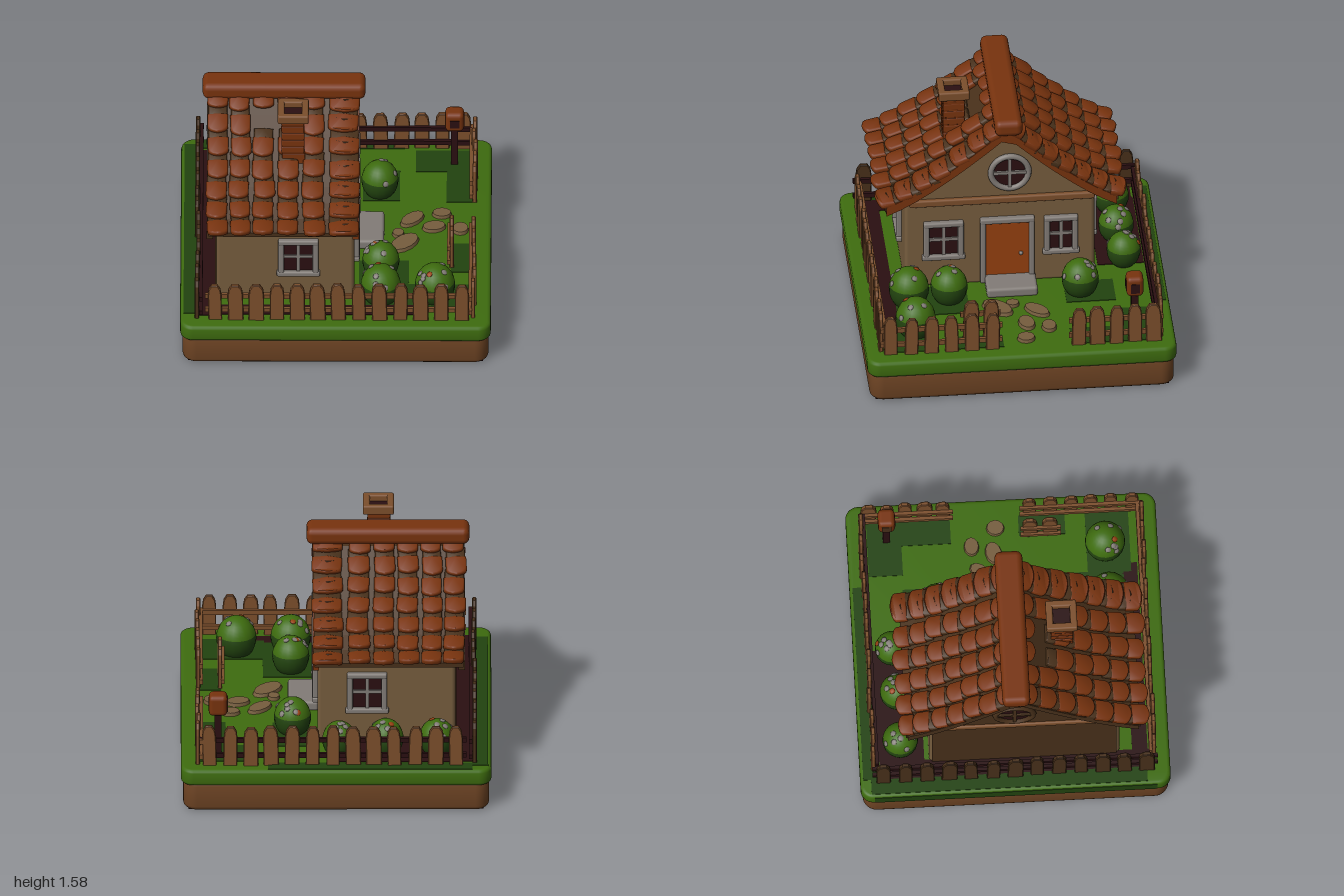
import * as THREE from 'three';
import { toCreasedNormals } from 'three/addons/utils/BufferGeometryUtils.js';
import { RoundedBoxGeometry } from 'three/addons/geometries/RoundedBoxGeometry.js';

const mat = (name, color) => new THREE.MeshStandardMaterial({ name, color });
const M = {
  grass: mat('grass green', 0x3e6c0f), shade: mat('dark grass', 0x22430f), soil: mat('dark soil', 0x2a0f11),
  dirt: mat('earth brown', 0x6d4323), wood: mat('fence wood', 0x7c4f2c), wall: mat('plaster', 0x765d3e),
  trim: mat('pale trim', 0x827c77), tile: mat('roof tile', 0x78330e), dark: mat('dark timber', 0x48301a),
  door: mat('door orange', 0x964110),
};

let seed = 7;
const rnd = (a, b) => {
  seed = (seed * 16807) % 2147483647;
  return a + (b - a) * (seed / 2147483647);
};
function add(parent, name, geo, material, x = 0, y = 0, z = 0) {
  const m = new THREE.Mesh(geo, material);
  m.name = name;
  m.position.set(x, y, z);
  parent.add(m);
  return m;
}
function group(parent, name) {
  const g = new THREE.Group();
  g.name = name;
  parent.add(g);
  return g;
}
const box = (w, h, d) => new THREE.BoxGeometry(w, h, d);
const rbox = (w, h, d, r = 0.012) => new RoundedBoxGeometry(w, h, d, 2, r);
const poly = pts => new THREE.Shape(pts.map(p => new THREE.Vector2(p[0], p[1])));

// Rounded square slab, y from y0 to y1
function slab(parent, name, half, y0, y1, bevel, material) {
  const h = half - bevel, r = 0.06, s = new THREE.Shape();
  s.absarc(h - r, h - r, r, 0, Math.PI / 2);
  s.absarc(-h + r, h - r, r, Math.PI / 2, Math.PI);
  s.absarc(-h + r, -h + r, r, Math.PI, Math.PI * 1.5);
  s.absarc(h - r, -h + r, r, Math.PI * 1.5, Math.PI * 2);
  const g = new THREE.ExtrudeGeometry(s, { depth: y1 - y0 - 2 * bevel, bevelSize: bevel, bevelThickness: bevel, bevelSegments: 3, curveSegments: 6 });
  g.rotateX(-Math.PI / 2);
  add(parent, name, toCreasedNormals(g, 0.7), material, 0, y0 + bevel, 0);
}

// Roof height across z, slightly concave towards the eaves
const ZC = 0.02, SPAN = { 1: 0.83, '-1': 0.76 };
const roofY = z => {
  const t = Math.min(1, Math.abs(z - ZC) / SPAN[z > ZC ? 1 : -1]);
  return 1.49 - 0.575 * (1 - Math.pow(1 - t, 1.3));
};
const roofLine = (z0, z1, drop) => Array.from({ length: 17 }, (_, i) => {
  const z = z0 + (z1 - z0) * i / 16;
  return [-z, roofY(z) - drop];
});
const alongX = (pts, x0, x1) => new THREE.ExtrudeGeometry(poly(pts), { depth: x1 - x0, bevelEnabled: false })
  .rotateY(Math.PI / 2).translate(x0, 0, 0);

// Window facing +z, origin at its centre
function windowUnit(parent, x, y, z, turn, w = 0.26, h = 0.29) {
  const g = group(parent, 'window'), f = 0.038;
  g.position.set(x, y, z);
  g.rotation.y = turn;
  add(g, 'glass', box(w - f, h - f, 0.008), M.soil, 0, 0, 0.004);
  for (const s of [-1, 1]) {
    add(g, 'frameSide', rbox(f, h, 0.04), M.trim, s * (w - f) / 2, 0, 0.012);
    add(g, 'frameRail', rbox(w + (s < 0 ? 0.02 : 0), f, 0.045), M.trim, 0, s * (h - f) / 2, 0.012);
  }
  add(g, 'mullion', box(0.022, h - f, 0.02), M.trim, 0, 0, 0.01);
  add(g, 'crossbar', box(w - f, 0.022, 0.02), M.trim, 0, 0.01, 0.01);
}

function roundWindow(parent, x, turn, frame) {
  const g = group(parent, 'roundWindow');
  g.position.set(x, 1.14, 0.0);
  g.rotation.y = turn;
  add(g, 'glass', new THREE.CircleGeometry(0.125, 24), M.soil, 0, 0, 0.008);
  add(g, 'ring', new THREE.TorusGeometry(0.122, 0.02, 8, 28), frame, 0, 0, 0.01);
  add(g, 'barUpright', box(0.022, 0.23, 0.02), frame, 0, 0, 0.012);
  add(g, 'barAcross', box(0.23, 0.022, 0.02), frame, 0, 0, 0.012);
}

// Arched strip of tile from y = top down to y = -len, lower end scalloped
function tileGeometry(w, top, len) {
  const a = w / 2 - 0.012, s = new THREE.Shape();
  s.moveTo(-a, top);
  s.lineTo(-a, -len + 0.04);
  s.quadraticCurveTo(-a, -len + 0.01, 0, -len);
  s.quadraticCurveTo(a, -len + 0.01, a, -len + 0.04);
  s.lineTo(a, top);
  s.lineTo(0, top);
  const g = new THREE.ExtrudeGeometry(s, { depth: 0.016, bevelSize: 0.012, bevelThickness: 0.012, bevelSegments: 2, curveSegments: 5 });
  const p = g.attributes.position;
  for (let i = 0; i < p.count; i++) p.setZ(i, p.getZ(i) - 2.6 * p.getX(i) ** 2);
  g.computeVertexNormals();
  return toCreasedNormals(g, 0.8);
}

function buildRoof(parent) {
  const g = group(parent, 'roof');
  add(g, 'roofDeck', alongX([...roofLine(0.81, -0.7, 0), ...roofLine(-0.7, 0.81, 0.03)], -0.82, 0.14), M.dark);
  const barge = [...roofLine(0.8, -0.69, -0.004), ...roofLine(-0.69, 0.8, 0.06)];
  add(g, 'bargeBoard', alongX(barge, 0.11, 0.15), M.tile);
  add(g, 'bargeBoardBack', alongX(barge, -0.83, -0.79), M.dark);
  add(g, 'ridgeCap', rbox(1.05, 0.115, 0.18, 0.04), M.tile, -0.335, 1.512, 0.01);
  const cols = [[-0.765, 0.135], [-0.62, 0.13], [-0.465, 0.135], [-0.31, 0.135], [-0.145, 0.14], [0.055, 0.195]], rows = 7;
  for (const s of [1, -1]) for (const [ci, [x, w]] of cols.entries()) {
    const face = tileGeometry(w, -0.072, 0.2), root = tileGeometry(w - 0.012, 0, 0.11);
    for (let r = 0; r < rows; r++) {
      if (s > 0 && r === 1 && (ci === 2 || ci === 3)) continue;
      const z0 = ZC + s * SPAN[s] * Math.max(0, r / rows - 0.03), z1 = ZC + s * SPAN[s] * ((r + 1) / rows + rnd(-0.012, 0.012));
      const y0 = roofY(z0), drop = y0 - roofY(z1) - 0.03, run = Math.abs(z1 - z0);
      const t = group(g, 'tile');
      t.position.set(x + rnd(-0.006, 0.006), y0 + 0.01, z0);
      t.rotation.set(Math.atan2(drop, run) - Math.PI / 2, s > 0 ? 0 : Math.PI, rnd(-0.06, 0.06), 'YXZ');
      t.scale.y = Math.hypot(drop, run) / 0.19;
      add(t, 'tileFace', face, M.tile);
      add(t, 'tileRoot', root, M.dark, 0, 0, -0.004);
    }
  }
  // Chimney with brick courses and an open cap
  const c = group(g, 'chimney');
  c.position.set(-0.275, 0, 0.33);
  add(c, 'shaft', box(0.14, 0.42, 0.134), M.tile, 0, 1.32, 0);
  for (let i = 0; i < 6; i++) add(c, 'brickCourse', rbox(0.148, 0.05, 0.142, 0.008), M.tile, rnd(-0.003, 0.003), 1.23 + i * 0.055, 0);
  for (const s of [-1, 1]) {
    add(c, 'capSide', rbox(0.045, 0.065, 0.2), M.wood, s * 0.0775, 1.547, 0);
    add(c, 'capEnd', rbox(0.2, 0.065, 0.045), M.wood, 0, 1.547, s * 0.0775);
  }
  add(c, 'flue', box(0.12, 0.008, 0.12), M.soil, 0, 1.533, 0);
}

function buildHouse(parent) {
  const g = group(parent, 'house');
  add(g, 'walls', rbox(0.89, 0.65, 1.23, 0.025), M.wall, -0.325, 0.615, 0.065);
  add(g, 'gable', alongX([...roofLine(0.66, -0.54, 0.025), [0.54, 0.88], [-0.66, 0.88]], -0.755, 0.105), M.wall);
  add(g, 'backWallFace', alongX([...roofLine(0.66, -0.53, 0.03), [0.53, 0.3], [-0.66, 0.3]], -0.776, -0.769), M.dark);
  add(g, 'gableBeam', rbox(0.035, 0.05, 1.2), M.wood, 0.118, 0.935, 0.05);
  add(g, 'gableBeamBack', rbox(0.035, 0.05, 1.2), M.wood, -0.775, 0.935, 0.05);
  roundWindow(g, 0.106, Math.PI / 2, M.trim);
  roundWindow(g, -0.774, -Math.PI / 2, M.dark);
  windowUnit(g, -0.24, 0.64, 0.68, 0);
  windowUnit(g, -0.2, 0.64, -0.55, Math.PI);
  windowUnit(g, 0.12, 0.65, 0.43, Math.PI / 2);
  windowUnit(g, 0.12, 0.65, -0.33, Math.PI / 2, 0.22);
  // Door, surround and step
  add(g, 'door', box(0.02, 0.42, 0.28), M.door, 0.125, 0.56, 0.015);
  for (const z of [-0.14, 0.175]) add(g, 'doorPost', rbox(0.05, 0.49, 0.036), M.trim, 0.13, 0.555, z);
  add(g, 'doorLintel', rbox(0.055, 0.04, 0.352), M.trim, 0.13, 0.785, 0.0175);
  add(g, 'doorKnob', new THREE.SphereGeometry(0.014, 10, 8), M.trim, 0.148, 0.53, -0.07);
  add(g, 'step', rbox(0.2, 0.07, 0.33, 0.02), M.trim, 0.21, 0.33, 0);
  buildRoof(g);
}

// Picket with a rounded, tapered top
const picketShape = poly([[-0.042, 0], [0.042, 0], [0.042, 0.2], [0.036, 0.245], [0.018, 0.275], [-0.018, 0.275], [-0.036, 0.245], [-0.042, 0.2]]);
const picket = new THREE.ExtrudeGeometry(picketShape, { depth: 0.018, bevelSize: 0.005, bevelThickness: 0.005, bevelSegments: 1 }).translate(0, 0, -0.009);

// Fence run; rails sit on the inner side, given by sign
function fence(parent, x0, z0, x1, z1, count, inner, pale = M.wood, railMat = M.wood) {
  const g = group(parent, 'fence'), len = Math.hypot(x1 - x0, z1 - z0);
  g.position.set((x0 + x1) / 2, 0.3, (z0 + z1) / 2);
  g.rotation.y = -Math.atan2(z1 - z0, x1 - x0);
  for (let i = 0; i < count; i++) {
    const m = add(g, 'picket', picket, pale, -len / 2 + len * (i + 0.5) / count, 0, rnd(-0.006, 0.006));
    m.scale.set(rnd(0.9, 1.1), rnd(0.96, 1.02), 1);
    m.rotation.z = rnd(-0.03, 0.03);
  }
  for (const y of [0.06, 0.17]) add(g, 'rail', box(len, 0.032, 0.022), railMat, 0, y, inner * 0.022);
}

function bush(parent, x, z, r) {
  const g = group(parent, 'bush');
  g.position.set(x, 0.4, z);
  add(g, 'leaves', new THREE.SphereGeometry(r, 18, 8, 0, Math.PI * 2, 0, 1.35), M.grass).scale.y = 1.15;
  add(g, 'lowerLeaves', new THREE.SphereGeometry(r, 18, 8, 0, Math.PI * 2, 1.35, Math.PI - 1.35), M.shade).scale.y = 1.15;
  for (let i = 0; i < 8; i++) {
    const a = rnd(0, 6.28), e = rnd(0.3, 1.4);
    const d = new THREE.Vector3(Math.cos(a) * Math.cos(e), Math.sin(e) * 1.15, Math.sin(a) * Math.cos(e));
    const f = add(g, 'flower', new THREE.SphereGeometry(0.02, 7, 5), i ? M.trim : M.door);
    f.position.copy(d).multiplyScalar(r);
    f.lookAt(d.multiplyScalar(2).add(g.position));
    f.scale.z = 0.35;
  }
}

export function createModel() {
  const root = new THREE.Group();
  root.name = 'cottage';
  slab(root, 'earthBase', 0.985, 0.003, 0.21, 0.03, M.dirt);
  add(root, 'underside', box(1.9, 0.006, 1.9), M.soil, 0, 0.003, 0);
  slab(root, 'lawn', 1, 0.19, 0.302, 0.022, M.grass);
  add(root, 'shadyLawnEdge', box(0.006, 0.078, 1.82), M.shade, -0.999, 0.246, 0);

  // Ground patches: x, z, width, depth
  const patch = (name, m, list) => list.forEach(([x, z, w, d]) => add(root, name, box(w, 0.005, d), m, x, 0.3035, z));
  patch('shadyGrass', M.shade, [[-0.93, -0.04, 0.1, 1.78], [-0.22, -0.935, 1.32, 0.09], [0.7, -0.76, 0.38, 0.22], [0.8, -0.49, 0.18, 0.32],
    [0.29, -0.5, 0.24, 0.32], [0.81, 0.26, 0.14, 0.3], [0.67, 0.68, 0.42, 0.28], [0.31, 0.53, 0.32, 0.48]]);
  patch('flowerBed', M.soil, [[-0.82, 0, 0.12, 1.74], [-0.38, -0.73, 0.76, 0.3], [-0.12, 0.81, 1.28, 0.1]]);

  buildHouse(root);

  fence(root, -0.84, 0.9, 0.88, 0.9, 13, -1);
  fence(root, -0.84, -0.91, 0.88, -0.91, 13, 1, M.wood, M.soil);
  fence(root, -0.89, -0.92, -0.89, 0.92, 13, -1, M.dark, M.soil);
  fence(root, 0.89, 0.12, 0.89, 0.91, 6, 1);
  fence(root, 0.89, -0.92, 0.89, -0.31, 5, 1);
  fence(root, 0.75, 0.12, 0.75, 0.38, 2, 1);

  [[0.28, -0.44, 0.12], [0.29, 0.41, 0.12], [0.29, 0.67, 0.13], [0.64, 0.66, 0.13], [-0.65, -0.73, 0.115], [-0.32, -0.73, 0.115], [-0.02, -0.75, 0.11]]
    .forEach(b => bush(root, ...b));

  // Stepping stones: x, z, half length, half width, turn
  [[0.49, -0.14, 0.1, 0.055, 0.8], [0.68, -0.2, 0.065, 0.05, 0], [0.63, -0.06, 0.08, 0.055, 0.2], [0.8, -0.04, 0.055, 0.06, 0],
    [0.4, 0.01, 0.04, 0.045, 0], [0.44, 0.11, 0.12, 0.07, 0.8]].forEach(([x, z, a, b, t]) => {
    const s = add(root, 'steppingStone', new THREE.CylinderGeometry(0.9, 1, 0.025, 12), M.wall, x, 0.312, z);
    s.scale.set(a, 1, b);
    s.rotation.y = t;
  });

  // Letter box on a post
  const p = group(root, 'letterBox');
  p.position.set(0.76, 0, -0.745);
  add(p, 'post', box(0.045, 0.3, 0.045), M.soil, 0, 0.45, 0);
  add(p, 'boxBody', rbox(0.12, 0.145, 0.11, 0.03), M.tile, 0, 0.66, 0);
  add(p, 'boxFront', box(0.005, 0.07, 0.06), M.soil, 0.06, 0.655, 0);
  add(p, 'boxSide', box(0.06, 0.06, 0.005), M.soil, 0, 0.655, 0.055);
  add(p, 'boxBack', box(0.005, 0.085, 0.06), M.dark, -0.06, 0.655, 0);
  return root;
}
